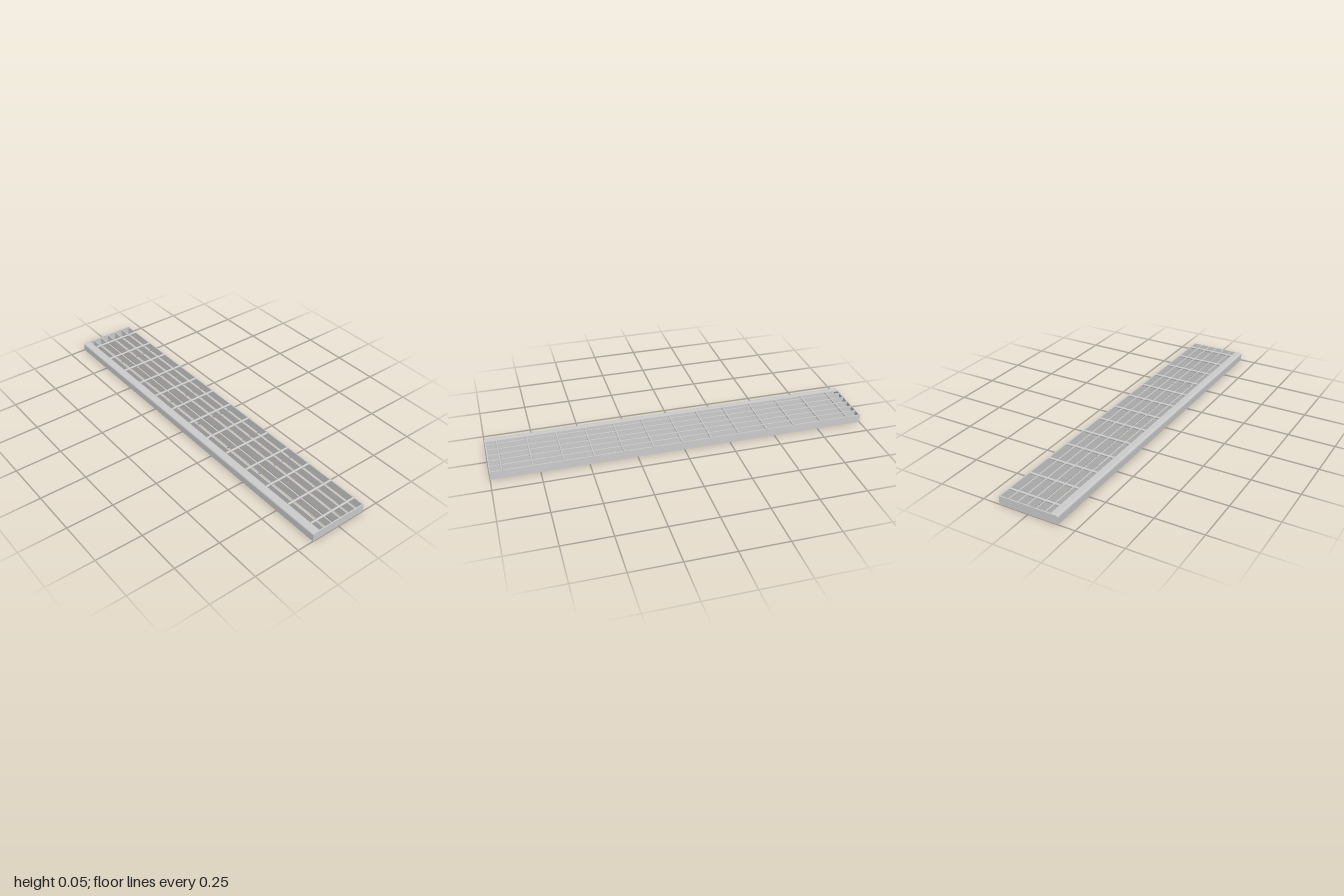
import * as THREE from 'three';

const HALF_DEPTH = 0.16, HEIGHT = 0.045, RADIUS = 0.011, PLATE = 0.006;
const material = new THREE.MeshStandardMaterial({ color: 0xcccccc, side: THREE.DoubleSide });

export function createModel() {
  const group = new THREE.Group();
  const add = (name, geometry, x, y, z) => {
    const mesh = new THREE.Mesh(geometry, material);
    mesh.name = name;
    mesh.position.set(x, y, z);
    group.add(mesh);
    return mesh;
  };

  // Extrude a (z, y) profile along x, centred on the given x
  const extrudeAlongX = (name, shape, length, x) => {
    const geometry = new THREE.ExtrudeGeometry(shape, { depth: length, bevelEnabled: false, curveSegments: 8 });
    geometry.translate(0, 0, -length / 2).rotateY(-Math.PI / 2);
    return add(name, geometry, x, 0, 0);
  };

  // End plates with a rounded front top corner
  const end = new THREE.Shape();
  end.moveTo(-HALF_DEPTH, 0);
  end.lineTo(HALF_DEPTH, 0);
  end.lineTo(HALF_DEPTH, HEIGHT - RADIUS);
  end.absarc(HALF_DEPTH - RADIUS, HEIGHT - RADIUS, RADIUS, 0, Math.PI / 2, false);
  end.lineTo(-HALF_DEPTH, HEIGHT);
  end.closePath();
  for (const side of [-1, 1]) extrudeAlongX('endPlate', end, PLATE, side * (1 - PLATE / 2));

  // Rounded angle section along the front edge
  const nosing = new THREE.Shape();
  nosing.moveTo(HALF_DEPTH - PLATE, 0);
  nosing.lineTo(HALF_DEPTH, 0);
  nosing.lineTo(HALF_DEPTH, HEIGHT - RADIUS);
  nosing.absarc(HALF_DEPTH - RADIUS, HEIGHT - RADIUS, RADIUS, 0, Math.PI / 2, false);
  nosing.lineTo(0.12, HEIGHT);
  nosing.lineTo(0.12, HEIGHT - PLATE);
  nosing.lineTo(HALF_DEPTH - RADIUS, HEIGHT - PLATE);
  nosing.absarc(HALF_DEPTH - RADIUS, HEIGHT - RADIUS, RADIUS - PLATE, Math.PI / 2, 0, true);
  nosing.closePath();
  extrudeAlongX('nosing', nosing, 2 - 2 * PLATE, 0);

  // Long bearing bars
  const bar = new THREE.BoxGeometry(2 - 2 * PLATE, HEIGHT, PLATE);
  for (let i = 0; i < 6; i++) add('bearingBar', bar, 0, HEIGHT / 2, -HALF_DEPTH + PLATE / 2 + i * 0.05);

  // Cross rods let into the bar tops, standing slightly proud
  const rod = new THREE.CylinderGeometry(0.006, 0.006, 0.28, 12).rotateX(Math.PI / 2);
  for (let i = 0; i < 13; i++) add('crossRod', rod, -0.922 + i * 0.155, 0.042, -0.02);

  return group;
}
